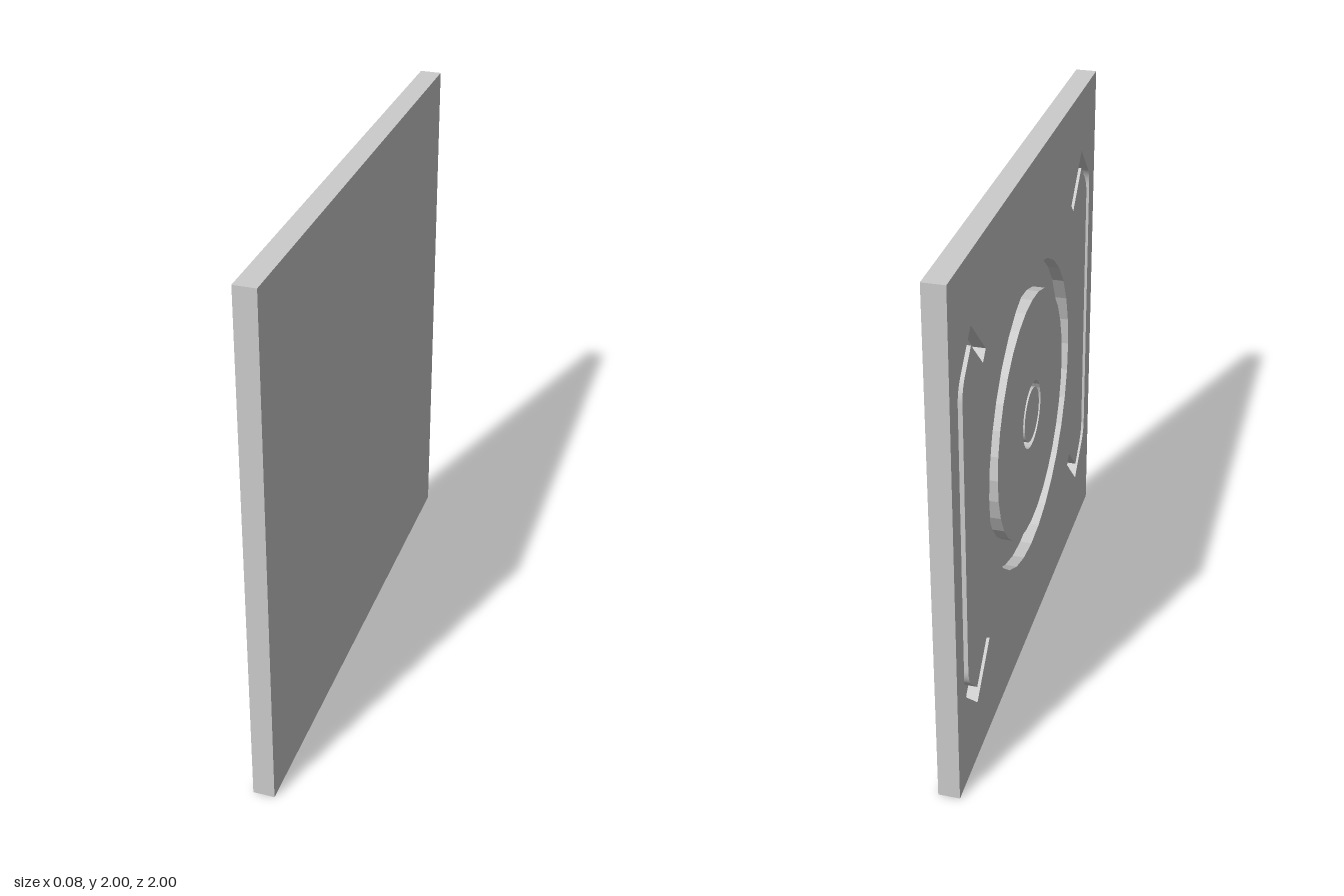
import * as THREE from 'three';

const THICK = 0.08, DEPTH = 0.045;

// Half bracket outline for the upper end; the lower end is its mirror image
function bracket(side) {
  const p = new THREE.Path();
  const at = (x, y) => [side * x, y];
  p.moveTo(...at(0.602, 0.59));
  p.lineTo(...at(0.766, 0.755));
  p.lineTo(...at(0.882, 0.639));
  p.quadraticCurveTo(...at(0.918, 0.603), ...at(0.918, 0.553));
  p.lineTo(...at(0.918, -0.553));
  p.quadraticCurveTo(...at(0.918, -0.603), ...at(0.882, -0.639));
  p.lineTo(...at(0.766, -0.755));
  p.lineTo(...at(0.602, -0.59));
  p.lineTo(...at(0.637, -0.555));
  p.lineTo(...at(0.766, -0.684));
  p.lineTo(...at(0.832, -0.618));
  p.quadraticCurveTo(...at(0.868, -0.582), ...at(0.868, -0.532));
  p.lineTo(...at(0.868, 0.532));
  p.quadraticCurveTo(...at(0.868, 0.582), ...at(0.832, 0.618));
  p.lineTo(...at(0.766, 0.684));
  p.lineTo(...at(0.637, 0.555));
  p.closePath();
  return p;
}

const circle = (r, Type = THREE.Path) => new Type().absarc(0, 0, r, 0, Math.PI * 2, false);

export function createModel() {
  const group = new THREE.Group();
  const material = new THREE.MeshStandardMaterial({ color: 0xcccccc });

  const add = (name, geometry, x) => {
    const mesh = new THREE.Mesh(geometry, material);
    mesh.name = name;
    mesh.position.set(x, 1, 0);
    group.add(mesh);
  };

  // Raised layer: drawn in z and y, extruded towards -x
  const addLayer = (name, shape) => {
    const geometry = new THREE.ExtrudeGeometry(shape, { depth: DEPTH, bevelEnabled: false, curveSegments: 16 });
    geometry.rotateY(-Math.PI / 2);
    add(name, geometry, DEPTH - THICK / 2);
  };

  // Solid backing whose face forms the groove floors
  add('backing', new THREE.BoxGeometry(THICK - DEPTH, 2, 2), DEPTH / 2);

  // Face plate with the round opening and two bracket grooves
  const plate = new THREE.Shape([[-1, -1], [1, -1], [1, 1], [-1, 1]].map(([x, y]) => new THREE.Vector2(x, y)));
  plate.holes.push(circle(0.585), bracket(1), bracket(-1));
  addLayer('facePlate', plate);

  // Disc inside the wide ring groove, with a narrow ring groove at its middle
  const disc = circle(0.475, THREE.Shape);
  disc.holes.push(circle(0.13));
  addLayer('disc', disc);
  addLayer('hub', circle(0.105, THREE.Shape));

  return group;
}
